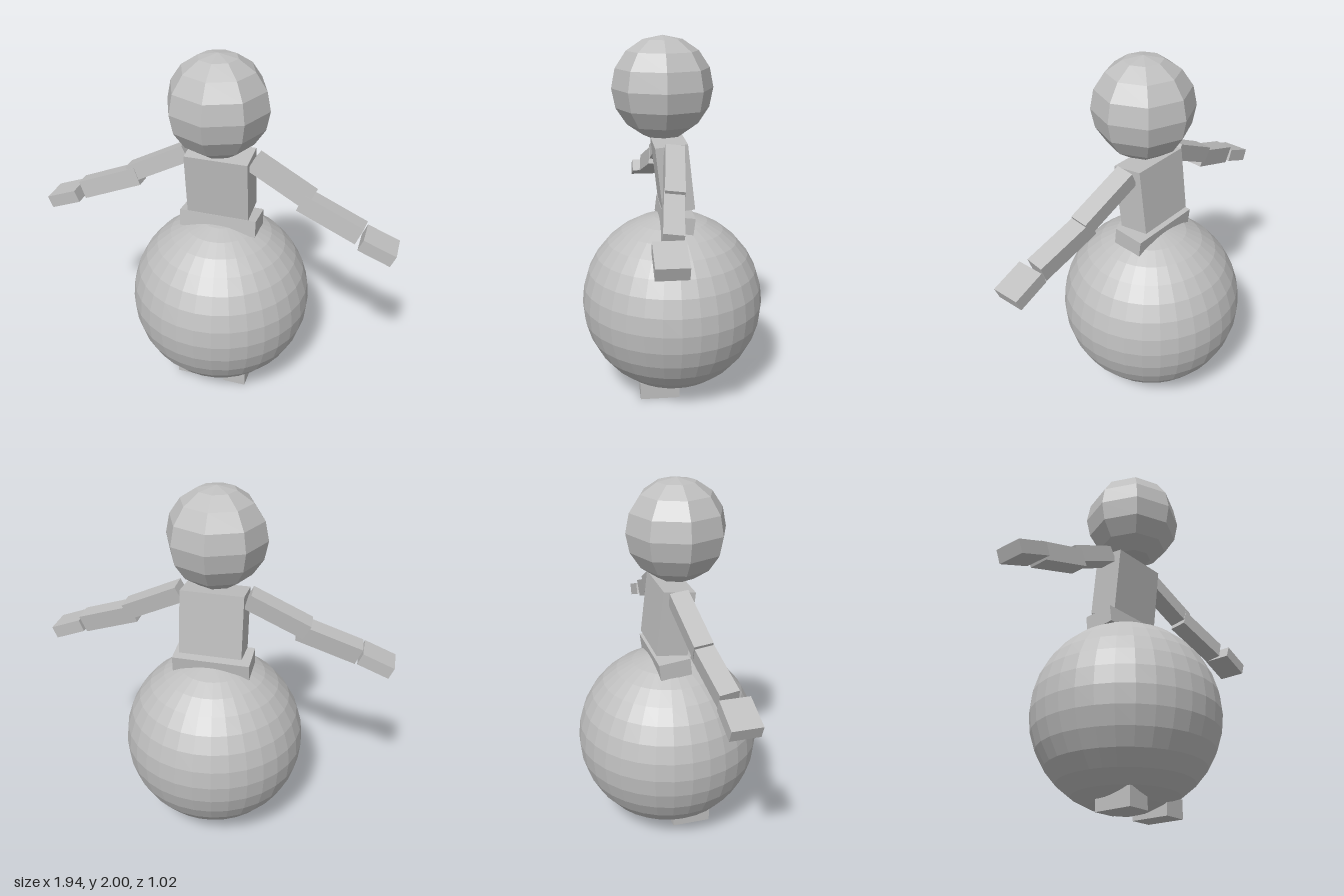
import * as THREE from 'three';

export function createModel() {
  const model = new THREE.Group();
  model.name = 'figure';
  const grey = new THREE.MeshStandardMaterial({ color: 0xbfbfbf, flatShading: true });
  grey.name = 'plain grey';

  function add(name, geometry, position, rotation = [0, 0, 0]) {
    const mesh = new THREE.Mesh(geometry, grey);
    mesh.name = name;
    mesh.position.set(...position);
    mesh.rotation.set(...rotation, 'YZX');
    model.add(mesh);
    return mesh;
  }

  // Round lower body and coarse faceted head
  add('roundBody', new THREE.SphereGeometry(0.51, 32, 16), [0, 0.527, 0]);
  add('head', new THREE.SphereGeometry(0.27, 8, 8), [0, 1.73, 0.05]);

  // Torso leans forward, waist leans back
  add('chest', new THREE.BoxGeometry(0.345, 0.355, 0.172), [0, 1.275, 0], [0.115, 0, 0]);
  add('waist', new THREE.BoxGeometry(0.43, 0.095, 0.172), [0, 1.032, -0.012], [-0.12, 0, 0]);

  // Arm segments and feet, mirrored: size, centre, rotation
  const limbs = [
    ['UpperArm', [0.355, 0.092, 0.1], [0.34, 1.347, 0.025], [-0.12, -0.1, -0.464]],
    ['Forearm', [0.345, 0.1, 0.1], [0.615, 1.2, 0.06], [-0.12, -0.11, -0.36]],
    ['Hand', [0.183, 0.07, 0.155], [0.872, 1.094, 0.097], [0, 0, -0.37]],
    ['Foot', [0.132, 0.1, 0.22], [0.143, 0.05, 0.09], [0, 0, 0]],
  ];
  for (const [side, s] of [['left', 1], ['right', -1]]) {
    for (const [part, size, [x, y, z], [rx, ry, rz]] of limbs) {
      add(side + part, new THREE.BoxGeometry(...size), [s * x, y, z], [rx, s * ry, s * rz]);
    }
  }
  return model;
}
